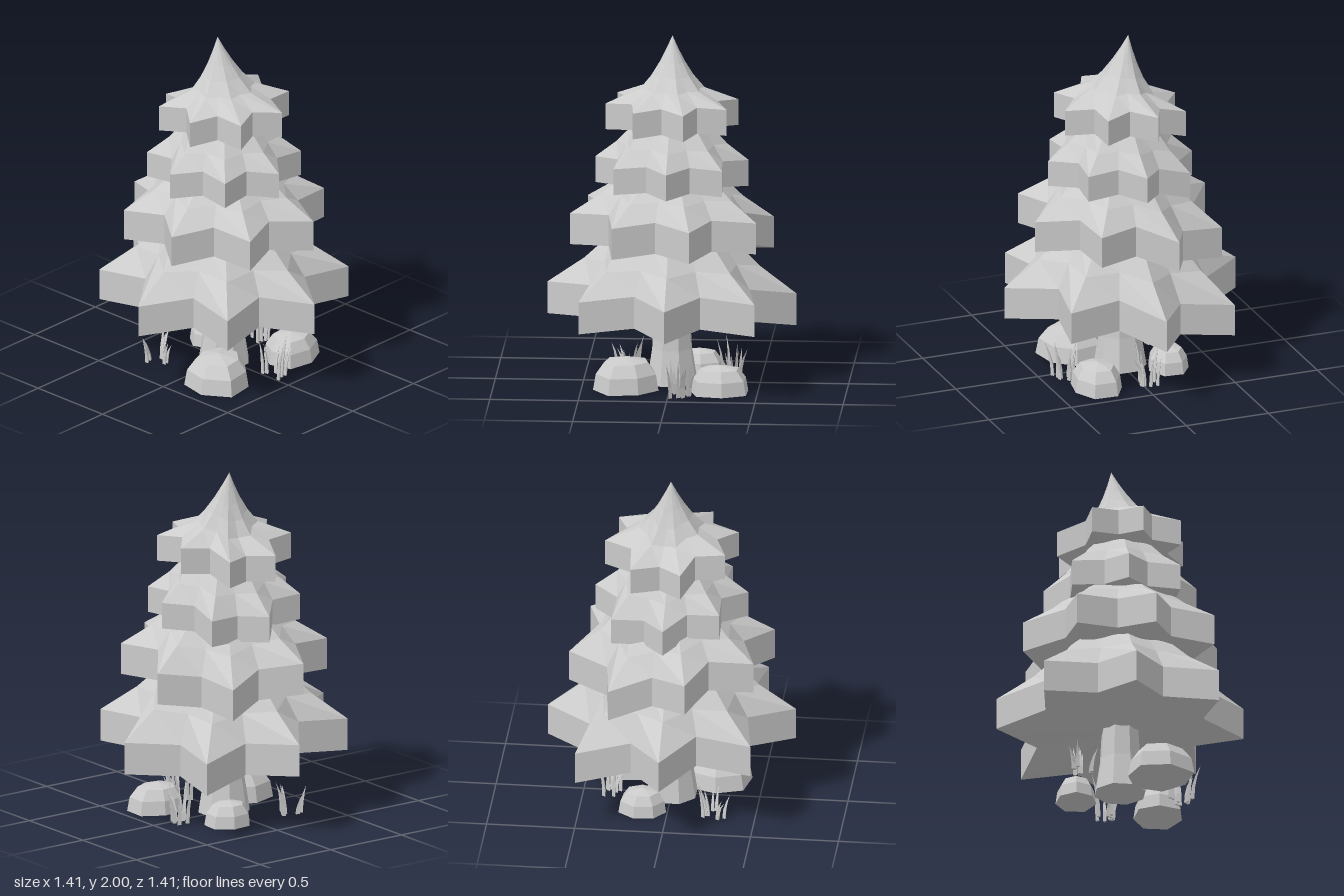
import * as THREE from 'three';

const material = new THREE.MeshStandardMaterial({ color: 0xcccccc, flatShading: true });
const { lerp, degToRad } = THREE.MathUtils;

function seeded(seed) {
  let s = seed;
  return () => (s = (s * 16807) % 2147483647) / 2147483647;
}

// One closed ring of n points, placed by point(angle, index)
function makeRing(n, point) {
  return Array.from({ length: n }, (_, j) => point((j / n) * Math.PI * 2, j));
}

// Skins rings (bottom to top) with flat facets and closes the underside.
function loft(rings) {
  const n = rings[0].length;
  const centre = rings[0].reduce((sum, p) => sum.add(p), new THREE.Vector3()).divideScalar(n);
  const all = [makeRing(n, () => centre), ...rings];
  const points = [];
  const tri = (a, b, c) => {
    if (!a.equals(b) && !b.equals(c) && !c.equals(a)) points.push(a, b, c);
  };
  for (let i = 0; i < rings.length; i++) {
    const lo = all[i], hi = all[i + 1];
    for (let j = 0; j < n; j++) {
      const k = (j + 1) % n;
      tri(lo[j], hi[j], hi[k]);
      tri(lo[j], hi[k], lo[k]);
    }
  }
  const geometry = new THREE.BufferGeometry().setFromPoints(points);
  geometry.computeVertexNormals();
  return geometry;
}

function addMesh(parent, name, geometry) {
  const mesh = new THREE.Mesh(geometry, material);
  mesh.name = name;
  parent.add(mesh);
  return mesh;
}

// Eight-pointed skirt: an upright rim, then a slope that rounds off into the neck.
// It sags towards one side (sagAngle) and its peak may lean along z.
function tierGeometry({ turn, radius, valley, y, rim, rise, neck, curve, steps, sag, sagAngle, lean = 0 }) {
  const level = (t, drop) => makeRing(16, (angle, j) => {
    const a = angle + degToRad(turn);
    const inward = t ** curve;
    const star = j % 2 ? lerp(valley, 1, inward) : 1;
    const r = lerp(radius, neck, inward) * star;
    const dip = sag * Math.max(0, Math.cos(a - degToRad(sagAngle))) ** 3 * (1 - t);
    const lift = (1 - star) * radius * 0.12;
    return new THREE.Vector3(r * Math.cos(a), y + rise * t - drop - dip + lift, r * Math.sin(a) + lean * t);
  });
  const slope = Array.from({ length: steps + 1 }, (_, i) => level(i / steps, 0));
  return loft([level(0, rim), ...slope]);
}

const TIERS = {
  bottomBranches: {
    turn: 0, radius: 0.705, valley: 0.69, y: 0.57, rim: 0.185,
    rise: 0.43, neck: 0.2, curve: 0.8, steps: 3, sag: 0.1, sagAngle: -38,
  },
  lowerMiddleBranches: {
    turn: -13, radius: 0.585, valley: 0.72, y: 1, rim: 0.18,
    rise: 0.32, neck: 0.16, curve: 0.8, steps: 3, sag: 0.13, sagAngle: -50,
  },
  upperMiddleBranches: {
    turn: 1, radius: 0.435, valley: 0.74, y: 1.3, rim: 0.15,
    rise: 0.28, neck: 0.14, curve: 0.8, steps: 3, sag: 0.08, sagAngle: -65,
  },
  treeTop: {
    turn: -13, radius: 0.38, valley: 0.7, y: 1.63, rim: 0.15,
    rise: 0.37, neck: 0, curve: 0.42, steps: 5, sag: 0.08, sagAngle: -80, lean: -0.05,
  },
};

// Flat-bottomed faceted boulder
function rockGeometry(rx, rz, height, seed) {
  const rnd = seeded(seed);
  const wobble = makeRing(7, () => 0.88 + rnd() * 0.2);
  return loft([0, 1, 2, 3].map((i) => {
    const tilt = (i / 3) * (Math.PI / 2);
    const r = i < 3 ? Math.cos(tilt) ** 0.6 : 0;
    return makeRing(7, (a, j) => new THREE.Vector3(
      rx * r * wobble[j] * Math.cos(a + seed),
      height * Math.sin(tilt),
      rz * r * wobble[j] * Math.sin(a + seed)));
  }));
}

// Trunk flaring out at the foot
function trunkGeometry() {
  return loft([0, 1, 2, 3].map((i) => {
    const r = 0.105 + 0.045 * (1 - i / 3) ** 3;
    return makeRing(8, (a) => new THREE.Vector3(r * Math.cos(a + 0.4), i * 0.2, r * Math.sin(a + 0.4)));
  }));
}

// Bent, pointed blade with a triangular section
function bladeGeometry(height, lean, dir) {
  return loft([0, 1, 2, 3].map((i) => {
    const t = i / 3, r = 0.013 * (1 - t * t), bend = lean * t * t;
    return makeRing(3, (a) => new THREE.Vector3(
      bend * Math.cos(dir) + r * Math.cos(a), height * t, bend * Math.sin(dir) + r * Math.sin(a)));
  }));
}

function grassClump(name, x, z, maxHeight, seed) {
  const clump = new THREE.Group();
  clump.name = name;
  clump.position.set(x, 0, z);
  const rnd = seeded(seed);
  for (let i = 0; i < 10; i++) {
    const dir = rnd() * Math.PI * 2, d = 0.02 + rnd() * 0.06;
    const height = maxHeight * (0.55 + 0.45 * rnd());
    const blade = addMesh(clump, 'grassBlade', bladeGeometry(height, 0.02 + rnd() * 0.03, dir));
    blade.position.set(d * Math.cos(dir), 0, d * Math.sin(dir));
  }
  return clump;
}

export function createModel() {
  const tree = new THREE.Group();
  tree.name = 'pineTree';

  // Branch tiers and trunk
  for (const [name, tier] of Object.entries(TIERS)) addMesh(tree, name, tierGeometry(tier));
  addMesh(tree, 'trunk', trunkGeometry());

  // Boulders
  addMesh(tree, 'rightRock', rockGeometry(0.2, 0.2, 0.185, 11)).position.set(-0.245, 0, 0.19);
  addMesh(tree, 'leftRock', rockGeometry(0.175, 0.155, 0.16, 5)).position.set(0.28, 0, 0.25);
  addMesh(tree, 'backRock', rockGeometry(0.15, 0.13, 0.14, 23)).position.set(0.14, 0, -0.235);

  // Grass
  tree.add(grassClump('frontGrass', 0.04, 0.34, 0.26, 77));
  tree.add(grassClump('leftGrass', 0.34, -0.04, 0.26, 1234));
  tree.add(grassClump('backGrass', -0.26, -0.27, 0.2, 4321));

  return tree;
}
